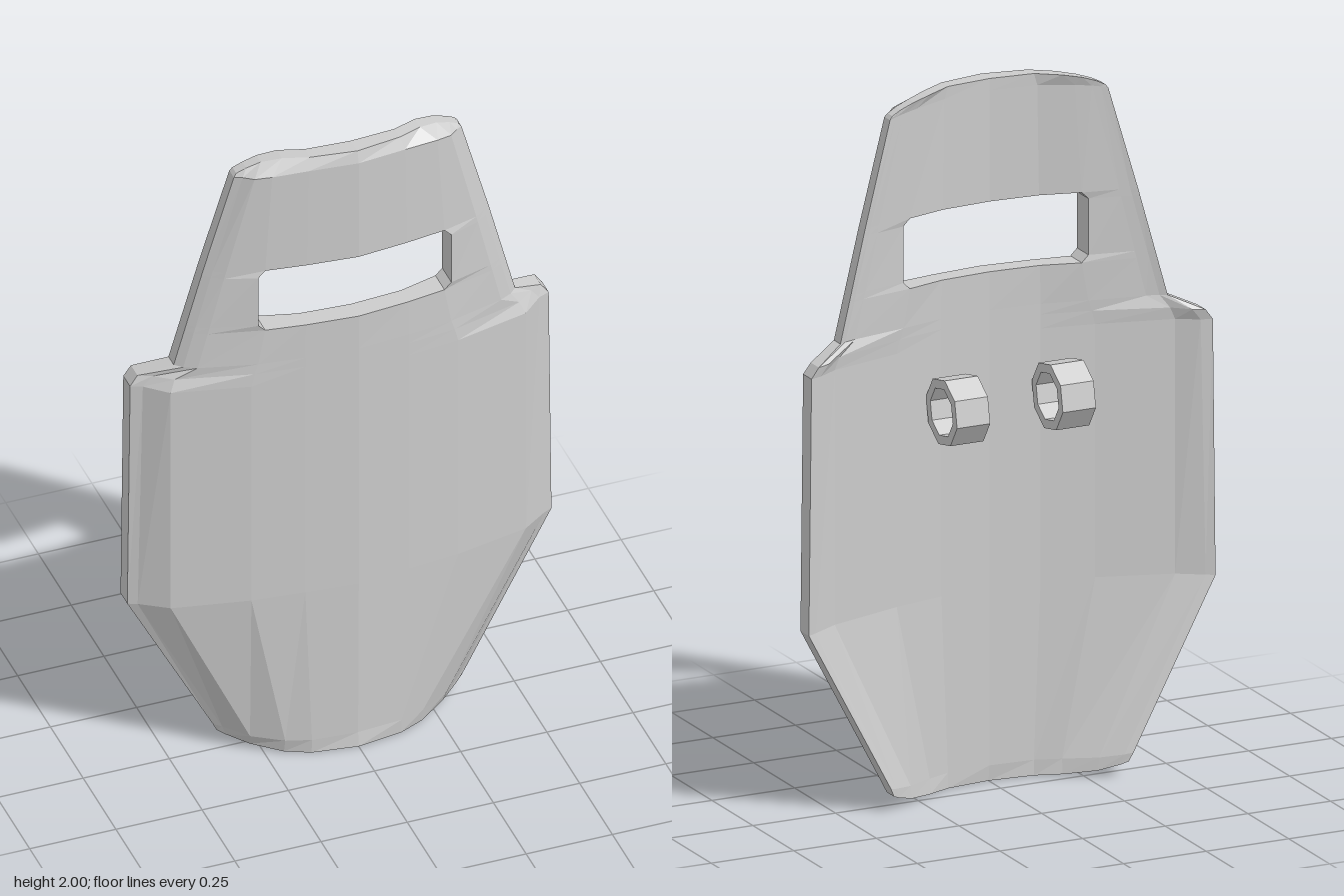
import * as THREE from 'three';

const material = new THREE.MeshStandardMaterial({ color: 0xcccccc, flatShading: true });

// Cross-sections of the right half, centre to rim: height, drop of the rim, x, front z, back z
const section = (y, drop, x, front, back) => ({ y, drop, x, front, back });
const bodyFront = [0.13, 0.117, 0.1, 0.05, -0.005, -0.018];
const bodyBack = [0.07, 0.06, 0.03, -0.025, -0.06, -0.07];
const neck = section(1.34, 0, [0, 0.15, 0.28, 0.44, 0.475, 0.495],
  [0.13, 0.117, 0.1, 0.058, 0.04, 0.02], [0.07, 0.06, 0.03, 0, -0.01, -0.02]);
const brow = section(1.965, -0.02, [0, 0.14, 0.24, 0.285, 0.31, 0.33],
  [0.13, 0.115, 0.1, 0.085, 0.06, 0.045], [0.07, 0.06, 0.03, 0.02, 0.015, 0.01]);

// Section between neck and brow, with the third column moved to the window side
function windowSection(y, side) {
  const t = (y - neck.y) / (brow.y - neck.y);
  const mix = (key) => neck[key].map((v, i) => THREE.MathUtils.lerp(v, brow[key][i], t));
  const x = mix('x');
  x[2] = side;
  return section(y, 0, x, mix('front'), mix('back'));
}

const sections = [
  section(0, 0.045, [0, 0.13, 0.2, 0.28, 0.335, 0.355],
    [0.13, 0.112, 0.085, 0.035, -0.005, -0.02], [0.075, 0.06, 0.025, -0.025, -0.055, -0.065]),
  section(0.045, 0.025, [0, 0.13, 0.2, 0.285, 0.345, 0.367],
    [0.125, 0.115, 0.095, 0.05, -0.005, -0.018], bodyBack),
  section(0.55, -0.01, [0, 0.15, 0.3, 0.515, 0.59, 0.615], bodyFront, bodyBack),
  section(1.27, 0, [0, 0.15, 0.3, 0.515, 0.575, 0.607], bodyFront, bodyBack),
  section(1.31, -0.01, [0, 0.15, 0.29, 0.5, 0.55, 0.585],
    [0.13, 0.117, 0.1, 0.04, 0, -0.02], bodyBack),
  neck,
  windowSection(1.45, 0.26), windowSection(1.47, 0.28),
  windowSection(1.63, 0.28), windowSection(1.65, 0.26),
  brow,
  section(2, -0.045, [0, 0.13, 0.2, 0.255, 0.295, 0.322],
    [0.12, 0.1, 0.07, 0.052, 0.046, 0.042], [0.07, 0.06, 0.03, 0.018, 0.015, 0.012]),
];

// Mirror a half section into a full row of points
function fullRow(s, key) {
  const half = s.x.map((x, i) => {
    const u = x / s.x[5];
    return [x, s.y + s.drop * u ** 4, s[key][i]];
  });
  const left = half.slice(1).reverse().map(([x, y, z]) => [-x, y, z]);
  return [...left, ...half];
}

function plateGeometry() {
  const F = sections.map((s) => fullRow(s, 'front'));
  const B = sections.map((s) => fullRow(s, 'back'));
  const rows = sections.length - 1, cols = F[0].length - 1;
  const positions = [];
  const quad = (a, b, c, d) => positions.push(...a, ...b, ...c, ...a, ...c, ...d);
  const solid = (i, j) => i >= 0 && j >= 0 && i < rows && j < cols
    && !(i >= 6 && i <= 8 && j >= 3 && j <= 6);

  for (let i = 0; i < rows; i++) {
    for (let j = 0; j < cols; j++) {
      if (!solid(i, j)) continue;
      const f = [F[i][j], F[i][j + 1], F[i + 1][j + 1], F[i + 1][j]];
      const b = [B[i][j], B[i][j + 1], B[i + 1][j + 1], B[i + 1][j]];
      quad(f[0], f[1], f[2], f[3]);
      quad(b[1], b[0], b[3], b[2]);
      // Edge walls wherever the plate ends: outline and viewing window
      const open = [!solid(i - 1, j), !solid(i, j + 1), !solid(i + 1, j), !solid(i, j - 1)];
      open.forEach((isOpen, k) => {
        const n = (k + 1) % 4;
        if (isOpen) quad(b[k], b[n], f[n], f[k]);
      });
    }
  }
  const geometry = new THREE.BufferGeometry();
  geometry.setAttribute('position', new THREE.Float32BufferAttribute(positions, 3));
  geometry.computeVertexNormals();
  return geometry;
}

// Eight-sided band whose axis runs along x
function ringGeometry(outer, inner, width) {
  const h = width / 2;
  const profile = [[inner, -h], [outer, -h], [outer, h], [inner, h], [inner, -h]]
    .map(([r, y]) => new THREE.Vector2(r, y));
  return new THREE.LatheGeometry(profile, 8, Math.PI / 16).rotateZ(Math.PI / 2);
}

export function createModel() {
  const shield = new THREE.Group();
  shield.name = 'shield';

  const plate = new THREE.Mesh(plateGeometry(), material);
  plate.name = 'shieldPlate';
  shield.add(plate);

  // Arm loops on the back
  const loop = ringGeometry(0.097, 0.07, 0.1);
  for (const [name, x] of [['leftArmLoop', 0.15], ['rightArmLoop', -0.17]]) {
    const mesh = new THREE.Mesh(loop, material);
    mesh.name = name;
    mesh.position.set(x, 1.11, -0.042);
    shield.add(mesh);
  }
  return shield;
}
